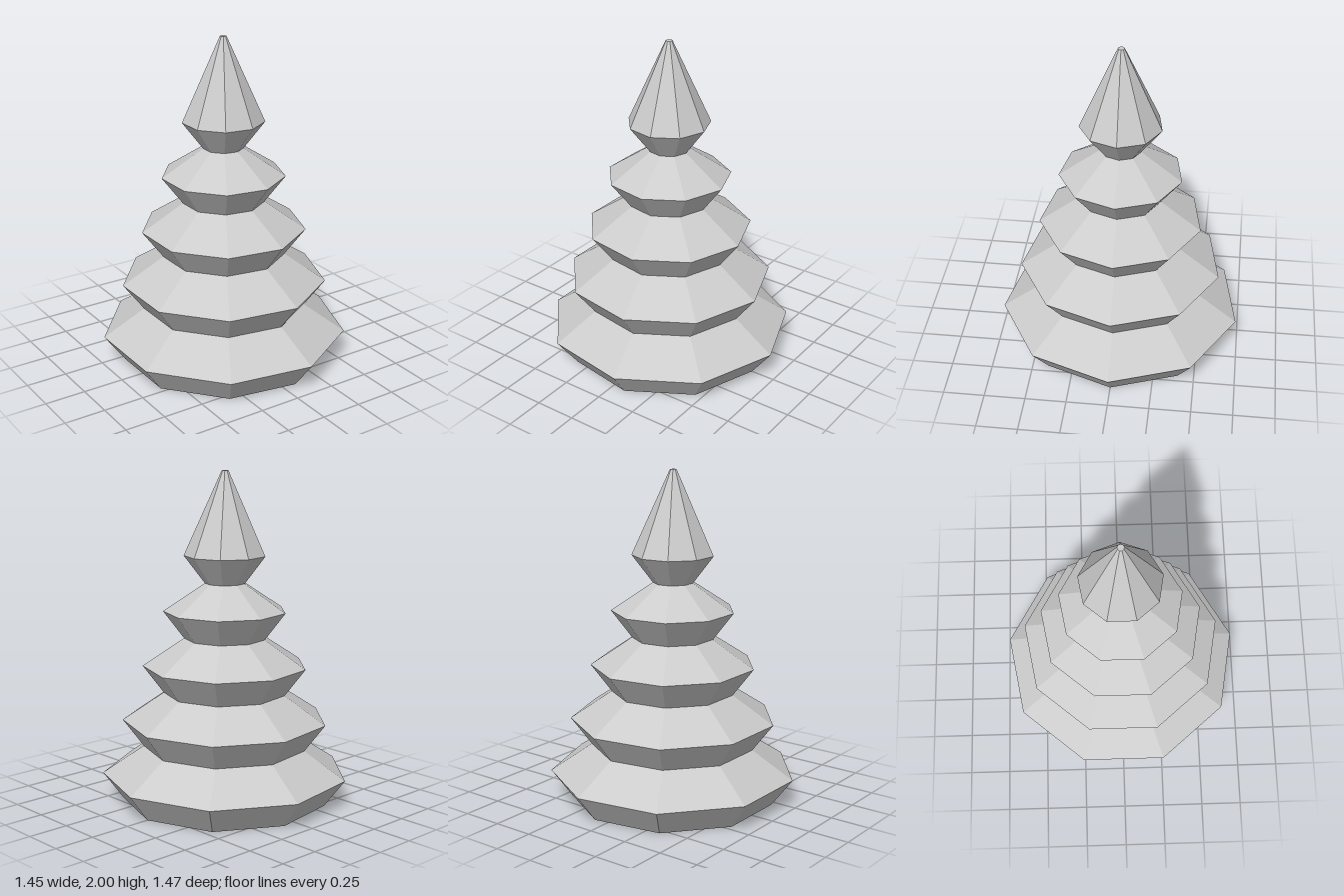
import * as THREE from 'three';

const SIDES = 9;
const TIERS = 4;
const STEP = 1 / 6; // height of each sloped band
const R = 0.748; // widest radius
const SHRINK = 0.1253; // radius lost per tier

export function createModel() {
  const group = new THREE.Group();
  group.name = 'tree';
  const material = new THREE.MeshStandardMaterial({ color: 0xcccccc, flatShading: true });

  // Nine-sided lathe with one corner pointing to +x
  const addLathe = (name, profile) => {
    const points = profile.map(([r, y]) => new THREE.Vector2(r, y));
    const mesh = new THREE.Mesh(new THREE.LatheGeometry(points, SIDES, Math.PI / 2), material);
    mesh.name = name;
    // An odd-sided outline sits off its axis, so shift it to centre the bounds
    mesh.position.x = -R * (1 - Math.cos(Math.PI / SIDES)) / 2;
    group.add(mesh);
  };

  // Flat underside
  addLathe('base', [[0, 0], [R - SHRINK, 0]]);

  // Stacked branch tiers: flare out, then slope in to the next tier
  for (let i = 0; i < TIERS; i++) {
    const rim = R - i * SHRINK;
    const y = i * 2 * STEP;
    addLathe(`branchTier${i + 1}`, [
      [rim - SHRINK, y],
      [rim, y + STEP],
      [rim - 2 * SHRINK, y + 2 * STEP],
    ]);
  }

  // Tall pointed crown with a tiny flat tip
  const crown = R - TIERS * SHRINK;
  const y = TIERS * 2 * STEP;
  addLathe('crown', [[crown - SHRINK, y], [crown, y + STEP], [0.02, 2], [0, 2]]);

  return group;
}
